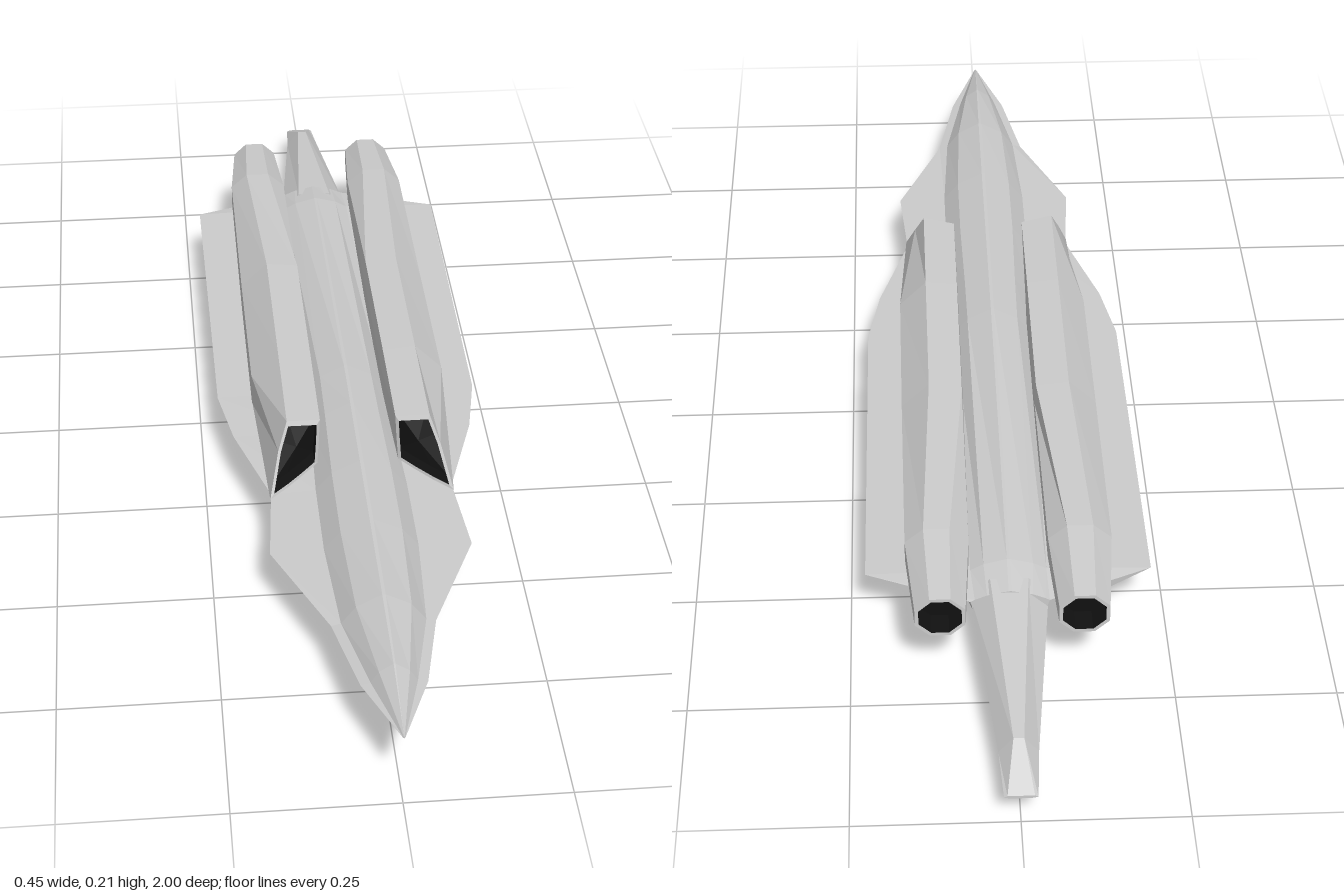
import * as THREE from 'three';

const mat = (color) => new THREE.MeshStandardMaterial({ color, flatShading: true, side: THREE.DoubleSide });

// Skin rings of [x, y, z] points, ordered nose to tail, clockwise seen from the front.
function loft(name, rings, material, frontCap = true, rearCap = true) {
  const pos = [];
  const tri = (a, b, c) => pos.push(...a, ...b, ...c);
  const n = rings[0].length;
  for (let i = 0; i < rings.length - 1; i++) {
    for (let j = 0; j < n; j++) {
      const k = (j + 1) % n, r = rings[i], s = rings[i + 1];
      tri(r[j], r[k], s[j]);
      tri(r[k], s[k], s[j]);
    }
  }
  const cap = (ring, front) => {
    const c = centre(ring);
    for (let j = 0; j < n; j++) {
      const a = ring[j], b = ring[(j + 1) % n];
      front ? tri(c, b, a) : tri(c, a, b);
    }
  };
  if (frontCap) cap(rings[0], true);
  if (rearCap) cap(rings[rings.length - 1], false);
  const geo = new THREE.BufferGeometry();
  geo.setAttribute('position', new THREE.Float32BufferAttribute(pos, 3));
  geo.computeVertexNormals();
  const mesh = new THREE.Mesh(geo, material);
  mesh.name = name;
  return mesh;
}

const centre = (ring) => [0, 1, 2].map((k) => ring.reduce((t, p) => t + p[k], 0) / ring.length);
const inset = (ring, f) => {
  const c = centre(ring);
  return ring.map((p) => p.map((v, k) => c[k] + (v - c[k]) * f));
};
const shiftZ = (ring, dz) => ring.map(([x, y, z]) => [x, y, z + dz]);
const flip = (ring) => ring.map(([x, y, z]) => [-x, y, z]).reverse();

// Full ring from the points of its +x half, top to bottom.
const symmetric = (half, z) => {
  const right = half.map(([x, y]) => [x, y, z]);
  return [...right, ...flip(right)];
};

// Eight-sided ring with flats up, for the engine nozzle.
const octagon = (x, y, z, rx, ry) => Array.from({ length: 8 }, (_, i) => {
  const a = (112.5 - 45 * i) * Math.PI / 180;
  return [x + rx * Math.cos(a), y + ry * Math.sin(a), z];
});

export function createModel() {
  const model = new THREE.Group();
  model.name = 'aircraft';
  const grey = mat(0xcccccc), blue = mat(0x2c5596), black = mat(0x111111);

  // Fuselage blended into the wings: z, tipX, tipY, rootX, ridgeY, bellyX, bellyY, keelY
  const stations = [
    [1.0, 0.002, 0.125, 0.0015, 0.127, 0.001, 0.124, 0.123],
    [0.87, 0.05, 0.115, 0.035, 0.152, 0.03, 0.09, 0.083],
    [0.72, 0.08, 0.107, 0.065, 0.162, 0.042, 0.07, 0.054],
    [0.53, 0.16, 0.105, 0.075, 0.163, 0.055, 0.062, 0.042],
    [0.37, 0.148, 0.105, 0.075, 0.163, 0.065, 0.058, 0.036],
    [0.2, 0.2, 0.105, 0.07, 0.162, 0.07, 0.06, 0.036],
    [0.08, 0.221, 0.105, 0.068, 0.16, 0.07, 0.06, 0.037],
    [-0.565, 0.225, 0.105, 0.06, 0.13, 0.07, 0.062, 0.042],
    [-0.63, 0.062, 0.1, 0.055, 0.12, 0.05, 0.062, 0.044],
  ];
  model.add(loft('fuselageAndWings', stations.map(([z, tx, ty, rx, top, bx, by, keel]) => symmetric([
    [rx * 0.04, top],
    [rx * 0.65, ty + (top - ty) * 0.62],
    [rx, ty + Math.min(0.004, (top - ty) * 0.2)],
    [tx, ty],
    [bx, by],
    [bx * 0.28, keel],
  ], z)), grey));

  // Tapering tail boom: z, topX, topY, sideX, sideY, bottomX, bottomY
  model.add(loft('tailBoom', [
    [-0.6, 0.03, 0.12, 0.062, 0.09, 0.02, 0.043],
    [-0.92, 0.008, 0.09, 0.03, 0.062, 0.015, 0.048],
    [-1.0, 0.02, 0.053, 0.025, 0.05, 0.015, 0.048],
  ].map(([z, tx, ty, sx, sy, bx, by]) => symmetric([[tx, ty], [sx, sy], [bx, by]], z)), grey));

  // Canopy below the nose, and the fairing behind it: z, upperX, lowerX, lowerY
  const bubble = (rows) => rows.map(([z, ux, lx, ly]) => symmetric([[ux, 0.068], [lx, ly]], z));
  model.add(loft('canopy', bubble([
    [0.77, 0.02, 0.008, 0.062],
    [0.72, 0.036, 0.013, 0.032],
    [0.63, 0.043, 0.015, 0.009],
    [0.55, 0.044, 0.015, 0],
  ]), blue));
  model.add(loft('canopyFairing', bubble([
    [0.55, 0.044, 0.015, 0],
    [0.35, 0.06, 0.019, 0.036],
  ]), grey));

  // Engines
  const lip = [
    [0.062, 0.199, 0.3], [0.117, 0.206, 0.31], [0.133, 0.165, 0.335], [0.15, 0.105, 0.385],
    [0.122, 0.108, 0.36], [0.092, 0.112, 0.33], [0.067, 0.117, 0.305], [0.064, 0.16, 0.302],
  ];
  const middle = [
    [0.062, 0.2], [0.117, 0.206], [0.163, 0.16], [0.163, 0.105],
    [0.13, 0.1], [0.09, 0.1], [0.062, 0.11], [0.06, 0.16],
  ];
  const at = (z, drop) => middle.map(([x, y]) => [x, y - drop * (y - 0.1), z]);
  const nozzleFront = octagon(0.112, 0.147, -0.56, 0.054, 0.047);
  const nozzleEnd = octagon(0.11, 0.141, -0.71, 0.042, 0.039);
  const mouth = inset(lip, 0.86), outlet = inset(nozzleEnd, 0.85);

  for (const side of ['left', 'right']) {
    const place = (rings) => (side === 'left' ? rings : rings.map(flip));
    const engine = new THREE.Group();
    engine.name = side + 'Engine';
    engine.add(
      loft('nacelle', place([mouth, lip, at(0.1, 0), at(-0.2, 0.03), nozzleFront]), grey, false, false),
      loft('intakeDuct', place([mouth, shiftZ(mouth, -0.03)]), black, false, true),
      loft('nozzle', place([nozzleFront, nozzleEnd, outlet]), grey, false, false),
      loft('exhaustDuct', place([shiftZ(outlet, 0.04), outlet]), black, true, false),
    );
    model.add(engine);
  }
  return model;
}
